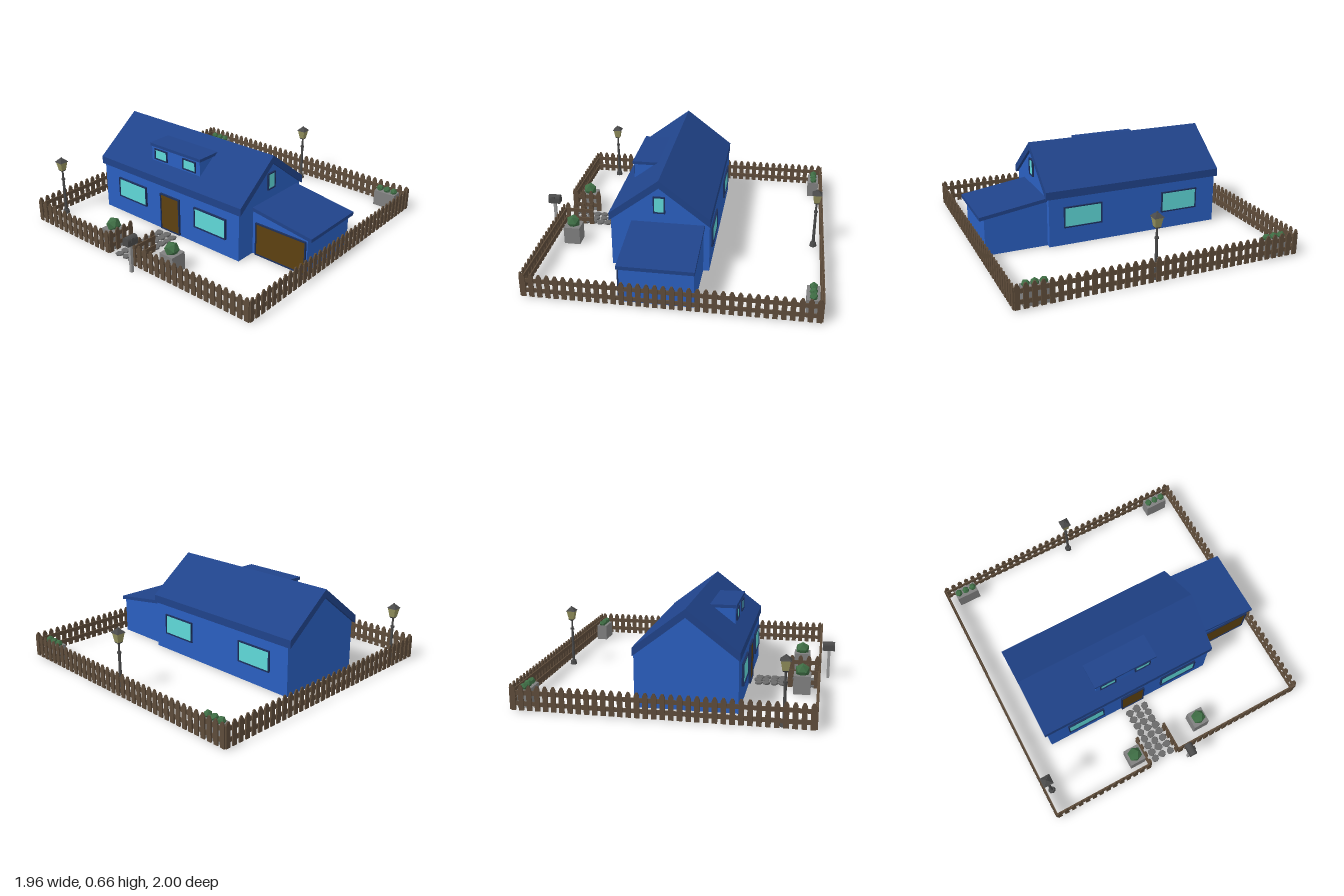
import * as THREE from 'three';
import { mergeGeometries } from 'three/addons/utils/BufferGeometryUtils.js';

const mat = (color, flat = true) => new THREE.MeshStandardMaterial({ color, flatShading: flat });
const M = {
  wall: mat(0x2a5fc0), roof: mat(0x20438a), frame: mat(0x1b2f5c), glass: mat(0x5fd8d8),
  door: mat(0x5c4010), wood: mat(0x5e4c3a), iron: mat(0x4a4a4a), lamp: mat(0x96935f),
  stone: mat(0x6a6a6a), planter: mat(0x808080), leaf: mat(0x3f6e45), post: mat(0x999999),
};

function add(parent, name, geo, material, x = 0, y = 0, z = 0) {
  const m = new THREE.Mesh(geo, material);
  m.name = name;
  m.position.set(x, y, z);
  parent.add(m);
  return m;
}

// Box given by its limits
function box(parent, name, material, x0, x1, y0, y1, z0, z1) {
  return add(parent, name, new THREE.BoxGeometry(x1 - x0, y1 - y0, z1 - z0), material,
    (x0 + x1) / 2, (y0 + y1) / 2, (z0 + z1) / 2);
}

function polyShape(points) {
  return new THREE.Shape(points.map(p => new THREE.Vector2(p[0], p[1])));
}

// Extrude a [z, y] profile along x
function alongX(points, x0, x1) {
  const g = new THREE.ExtrudeGeometry(polyShape(points.map(([z, y]) => [-z, y])), { depth: x1 - x0, bevelEnabled: false });
  return g.rotateY(Math.PI / 2).translate(x0, 0, 0);
}

// Extrude an [x, y] profile along z
function alongZ(points, z0, z1) {
  return new THREE.ExtrudeGeometry(polyShape(points), { depth: z1 - z0, bevelEnabled: false }).translate(0, 0, z0);
}

// Framed panel facing local +z, origin at its centre
function panel(parent, name, w, h, fill, x, y, z, ry = 0) {
  const g = new THREE.Group(), t = 0.008;
  g.name = name;
  g.position.set(x, y, z);
  g.rotation.y = ry;
  box(g, 'pane', fill, -w / 2 + t, w / 2 - t, -h / 2 + t, h / 2 - t, -0.008, 0.006);
  for (const s of [-1, 1]) {
    add(g, 'frameSide', new THREE.BoxGeometry(t, h, 0.02), M.frame, s * (w - t) / 2, 0, 0.002);
    add(g, 'frameBar', new THREE.BoxGeometry(w - 2 * t, t, 0.02), M.frame, 0, s * (h - t) / 2, 0.002);
  }
  parent.add(g);
}

function house() {
  const g = new THREE.Group();
  g.name = 'house';
  add(g, 'walls', alongX([[0.42, 0.003], [0.42, 0.353], [0.09, 0.606], [-0.245, 0.349], [-0.245, 0.003]], -0.78, 0.495), M.wall);
  add(g, 'mainRoof', alongX([[0.43, 0.345], [0.43, 0.4], [0.09, 0.66], [-0.25, 0.4], [-0.25, 0.345], [0.09, 0.605]], -0.803, 0.515), M.roof);
  // Dormer
  box(g, 'dormerWalls', M.wall, -0.36, 0.09, 0.47, 0.577, 0.19, 0.342);
  box(g, 'dormerRoof', M.roof, -0.37, 0.1, 0.577, 0.598, 0.165, 0.35);
  for (const x of [-0.27, -0.003]) panel(g, 'dormerWindow', 0.12, 0.08, M.glass, x, 0.525, 0.34);
  // Windows and door
  for (const x of [-0.49, 0.25]) {
    panel(g, 'frontWindow', 0.28, 0.15, M.glass, x, 0.205, 0.423);
    panel(g, 'backWindow', 0.28, 0.15, M.glass, x, 0.205, -0.246, Math.PI);
  }
  panel(g, 'gableWindow', 0.08, 0.12, M.glass, 0.496, 0.478, 0.09, Math.PI / 2);
  panel(g, 'frontDoor', 0.18, 0.275, M.door, -0.118, 0.148, 0.423);
  // Garage
  add(g, 'garageWalls', alongZ([[0.49, 0.003], [0.93, 0.003], [0.93, 0.265], [0.49, 0.328]], -0.205, 0.272), M.wall);
  add(g, 'garageRoof', alongZ([[0.49, 0.323], [0.962, 0.255], [0.962, 0.28], [0.49, 0.348]], -0.212, 0.28), M.roof);
  panel(g, 'garageDoor', 0.4, 0.24, M.door, 0.722, 0.125, 0.272);
  return g;
}

// Picket fence from a to b ([x, z]); pickets stand on the right of the run
function fence(a, b) {
  const dx = b[0] - a[0], dz = b[1] - a[1], len = Math.hypot(dx, dz);
  const w = 0.033, n = Math.round((len - w) / 0.053), parts = [];
  for (let i = 0; i <= n; i++) {
    const x = (len - w) * i / n;
    parts.push(alongZ([[x, 0.008], [x + w, 0.008], [x + w, 0.15], [x + w * 0.68, 0.172], [x + w * 0.32, 0.172], [x, 0.15]], 0, 0.009));
  }
  for (const y of [0.05, 0.12]) {
    parts.push(alongZ([[0, y - 0.014], [len, y - 0.014], [len, y + 0.014], [0, y + 0.014]], -0.008, 0));
  }
  const m = new THREE.Mesh(mergeGeometries(parts), M.wood);
  m.name = 'picketFence';
  m.position.set(a[0], 0, a[1]);
  m.rotation.y = -Math.atan2(dz, dx);
  return m;
}

function lampPost(x, z) {
  const g = new THREE.Group();
  g.name = 'lampPost';
  g.position.set(x, 0, z);
  add(g, 'base', new THREE.CylinderGeometry(0.02, 0.026, 0.03, 8), M.iron, 0, 0.015);
  add(g, 'lowerPost', new THREE.CylinderGeometry(0.009, 0.011, 0.25, 8), M.iron, 0, 0.15);
  add(g, 'collar', new THREE.CylinderGeometry(0.014, 0.014, 0.012, 8), M.iron, 0, 0.275);
  add(g, 'upperPost', new THREE.CylinderGeometry(0.007, 0.007, 0.07, 8), M.iron, 0, 0.31);
  const square = (name, rTop, rBottom, h, y, m) =>
    add(g, name, new THREE.CylinderGeometry(rTop * Math.SQRT2, rBottom * Math.SQRT2, h, 4).rotateY(Math.PI / 4), m, 0, y);
  square('lanternFoot', 0.02, 0.012, 0.01, 0.345, M.iron);
  square('lanternGlass', 0.029, 0.018, 0.065, 0.38, M.lamp);
  square('lanternCap', 0.01, 0.035, 0.025, 0.425, M.iron);
  square('finial', 0.003, 0.008, 0.01, 0.442, M.iron);
  return g;
}

// Planter box with a row of shrubs
function planter(x, z, w, d, h, count, r) {
  const g = new THREE.Group();
  g.name = 'planter';
  g.position.set(x, 0, z);
  box(g, 'planterBox', M.planter, -w / 2, w / 2, 0.003, h, -d / 2, d / 2);
  for (let i = 0; i < count; i++) {
    const s = add(g, 'shrub', new THREE.IcosahedronGeometry(r, 0), M.leaf, (i - (count - 1) / 2) * r * 2, h + r * 0.45, 0);
    s.rotation.y = i * 1.3;
  }
  return g;
}

function mailbox() {
  const g = new THREE.Group();
  g.name = 'mailbox';
  g.position.set(0.05, 0, 0.96);
  box(g, 'mailboxPost', M.post, -0.01, 0.01, 0, 0.21, -0.01, 0.01);
  const s = new THREE.Shape();
  s.moveTo(-0.026, 0.205);
  s.lineTo(0.026, 0.205);
  s.lineTo(0.026, 0.24);
  s.absarc(0, 0.24, 0.026, 0, Math.PI, false);
  add(g, 'mailboxBody', new THREE.ExtrudeGeometry(s, { depth: 0.085, bevelEnabled: false, curveSegments: 8 }), M.iron, 0, 0, -0.045);
  box(g, 'mailboxFlag', M.iron, 0.026, 0.03, 0.23, 0.26, -0.01, 0.015);
  return g;
}

// Irregular flat stones in three staggered columns
function path() {
  const g = new THREE.Group();
  g.name = 'stonePath';
  let seed = 7;
  const rnd = () => (seed = (seed * 16807) % 2147483647) / 2147483647;
  for (let c = 0; c < 3; c++) for (let r = 0; r < 8; r++) {
    const pts = [];
    for (let i = 0; i < 7; i++) {
      const a = (i + rnd() * 0.5) / 7 * Math.PI * 2, k = 0.024 + rnd() * 0.008;
      pts.push([Math.cos(a) * k * 1.05, Math.sin(a) * k]);
    }
    const geo = new THREE.ExtrudeGeometry(polyShape(pts), { depth: 0.008, bevelThickness: 0.004, bevelSize: 0.003, bevelOffset: -0.003, bevelSegments: 1 });
    geo.rotateX(-Math.PI / 2);
    add(g, 'stone', geo, M.stone, -0.17 + c * 0.062, 0.005, 0.487 + r * 0.054 - (c === 1 ? 0.008 : 0));
  }
  return g;
}

export function createModel() {
  const model = new THREE.Group();
  model.name = 'houseAndYard';
  model.add(house(), path(), mailbox());
  // Fence round the yard, with an opening and two short returns at the path
  const L = -0.97, R = 0.97, F = 0.9, B = -0.99;
  const runs = [
    [[L, F], [-0.228, F]], [[0, F], [R, F]], [[R, F], [R, B]], [[R, B], [L, B]], [[L, B], [L, F]],
    [[-0.23, F], [-0.23, 0.69]], [[-0.008, 0.69], [-0.008, F]],
  ];
  for (const [a, b] of runs) model.add(fence(a, b));
  model.add(lampPost(-0.925, 0.71), lampPost(0.045, -0.938));
  model.add(planter(-0.3, 0.79, 0.115, 0.115, 0.13, 1, 0.052), planter(0.23, 0.77, 0.115, 0.115, 0.13, 1, 0.052));
  for (const s of [-1, 1]) model.add(planter(s * 0.828, -0.933, 0.165, 0.08, 0.12, 3, 0.028));
  return model;
}
